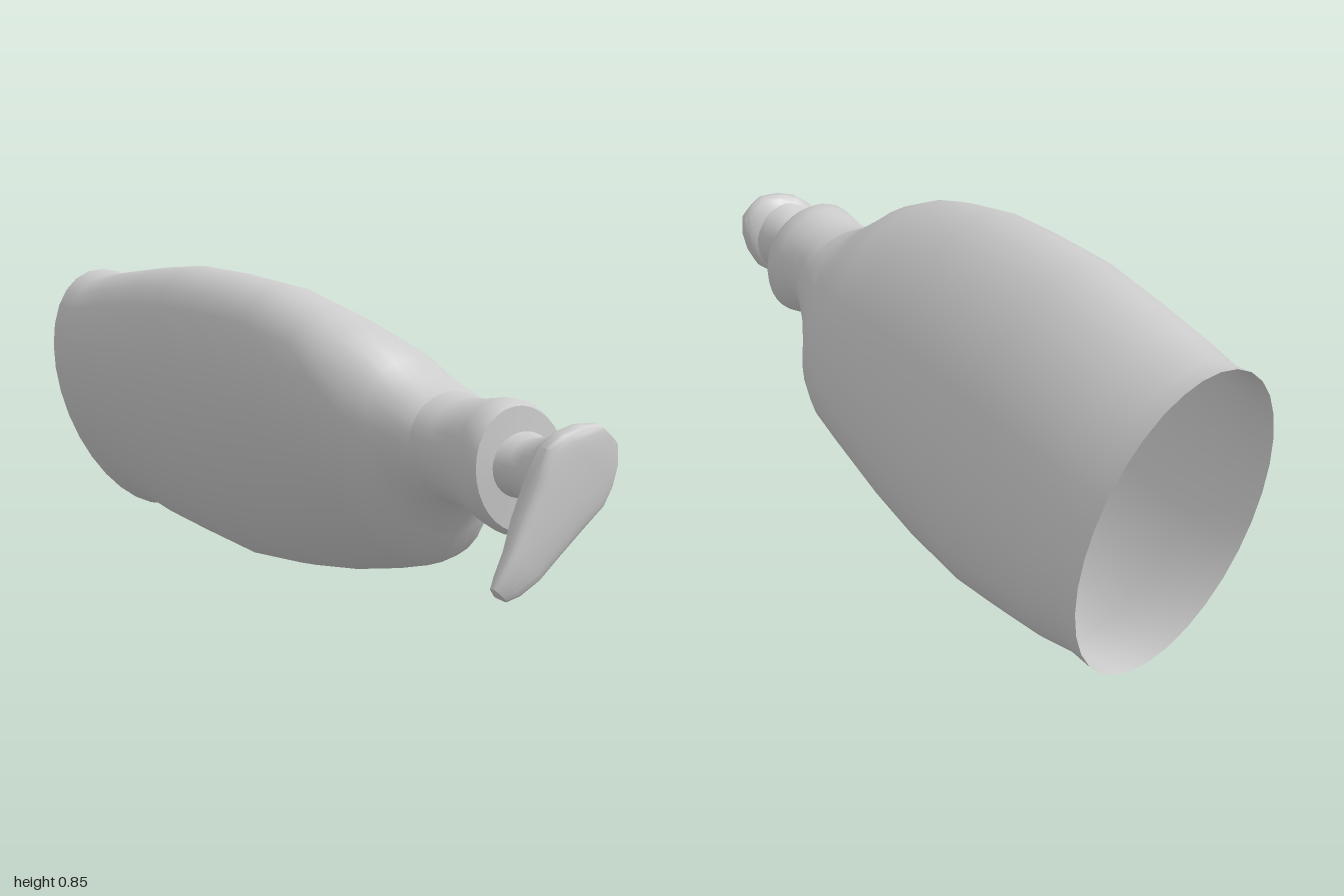
import * as THREE from 'three';
import { toCreasedNormals } from 'three/addons/utils/BufferGeometryUtils.js';

const material = new THREE.MeshStandardMaterial({ color: 0xcccccc, side: THREE.DoubleSide });
const SIDES = 32;

// Skin through a list of rings; place(section, angle) returns one point [x, y, z].
function loft(name, sections, place) {
  const positions = [], index = [];
  for (const s of sections)
    for (let j = 0; j < SIDES; j++) positions.push(...place(s, (j / SIDES) * Math.PI * 2));
  for (let i = 0; i < sections.length - 1; i++)
    for (let j = 0; j < SIDES; j++) {
      const k = (j + 1) % SIDES;
      const a = i * SIDES + j, b = i * SIDES + k, c = a + SIDES, d = b + SIDES;
      index.push(a, b, d, a, d, c);
    }
  const geometry = new THREE.BufferGeometry();
  geometry.setAttribute('position', new THREE.Float32BufferAttribute(positions, 3));
  geometry.setIndex(index);
  const mesh = new THREE.Mesh(toCreasedNormals(geometry, 0.7), material);
  mesh.name = name;
  return mesh;
}

// Slanted ellipse fitted to [z, xMin, xMax, yMin, yMax, slant]
function slantedRing([z, x0, x1, y0, y1, slant], t) {
  return [
    (x0 + x1) / 2 + ((x1 - x0) / 2) * Math.cos(t),
    (y0 + y1) / 2 + ((y1 - y0) / 2) * Math.sin(t - slant),
    z,
  ];
}

export function createModel() {
  const group = new THREE.Group();
  group.name = 'limb';

  // Broad hollow upper part, open at the back
  const body = [
    [-1, -0.28, 0.27, 0.07, 0.81, 0.42],
    [-0.93, -0.28, 0.275, 0.08, 0.797, 0.44],
    [-0.8, -0.285, 0.28, 0.05, 0.815, 0.46],
    [-0.6, -0.287, 0.283, 0.022, 0.84, 0.47],
    [-0.43, -0.29, 0.287, 0.003, 0.855, 0.47],
    [-0.2, -0.287, 0.286, 0.015, 0.847, 0.47],
    [0, -0.285, 0.28, 0.04, 0.83, 0.47],
    [0.2, -0.283, 0.27, 0.08, 0.785, 0.46],
    [0.32, -0.28, 0.264, 0.11, 0.748, 0.45],
    [0.39, -0.24, 0.245, 0.14, 0.715, 0.42],
    [0.44, -0.2, 0.215, 0.21, 0.672, 0.36],
    [0.49, -0.165, 0.19, 0.28, 0.63, 0.25],
    [0.55, -0.148, 0.17, 0.315, 0.602, 0.15],
  ];
  // Narrow cuff with a stepped lip
  const cuff = [
    body[body.length - 1],
    [0.6, -0.138, 0.15, 0.322, 0.592, 0.1],
    [0.66, -0.132, 0.143, 0.31, 0.595, 0.1],
    [0.72, -0.138, 0.155, 0.283, 0.605, 0.1],
    [0.76, -0.142, 0.16, 0.273, 0.606, 0.1],
    [0.785, -0.132, 0.15, 0.285, 0.592, 0.1],
    [0.79, -0.085, 0.105, 0.37, 0.53, 0],
  ];
  // Waisted ankle running into the foot
  const ankle = [
    cuff[cuff.length - 1],
    [0.82, -0.07, 0.095, 0.37, 0.52, 0],
    [0.86, -0.065, 0.09, 0.355, 0.525, 0],
    [0.91, -0.085, 0.1, 0.335, 0.54, 0],
    [0.96, -0.095, 0.115, 0.33, 0.555, 0],
  ];
  group.add(loft('body', body, slantedRing));
  group.add(loft('cuff', cuff, slantedRing));
  group.add(loft('ankle', ankle, slantedRing));

  // Foot from heel to toe: [distance, sideMin, sideMax, zMin, zMax]
  const foot = [
    [0, 0, 0.001, 0.975, 0.977],
    [0.01, -0.04, 0.05, 0.955, 0.995],
    [0.045, -0.08, 0.085, 0.93, 1],
    [0.09, -0.108, 0.11, 0.915, 1],
    [0.14, -0.118, 0.122, 0.9, 1],
    [0.21, -0.092, 0.107, 0.89, 1],
    [0.3, -0.067, 0.09, 0.9, 0.995],
    [0.38, -0.043, 0.075, 0.92, 0.99],
    [0.44, -0.031, 0.052, 0.933, 0.982],
    [0.47, -0.022, 0.032, 0.943, 0.972],
    [0.478, 0, 0.002, 0.955, 0.957],
  ];
  const along = [-0.66, -0.75], across = [0.75, -0.66], heel = [0.1, 0.55];
  group.add(loft('foot', foot, ([s, w0, w1, z0, z1], t) => {
    const w = (w0 + w1) / 2 + ((w1 - w0) / 2) * Math.cos(t);
    // Squashed sine keeps the sole flat
    const v = Math.sign(Math.sin(t)) * Math.abs(Math.sin(t)) ** (Math.sin(t) > 0 ? 0.5 : 1);
    return [
      heel[0] + s * along[0] + w * across[0],
      heel[1] + s * along[1] + w * across[1],
      (z0 + z1) / 2 + ((z1 - z0) / 2) * v,
    ];
  }));
  return group;
}
